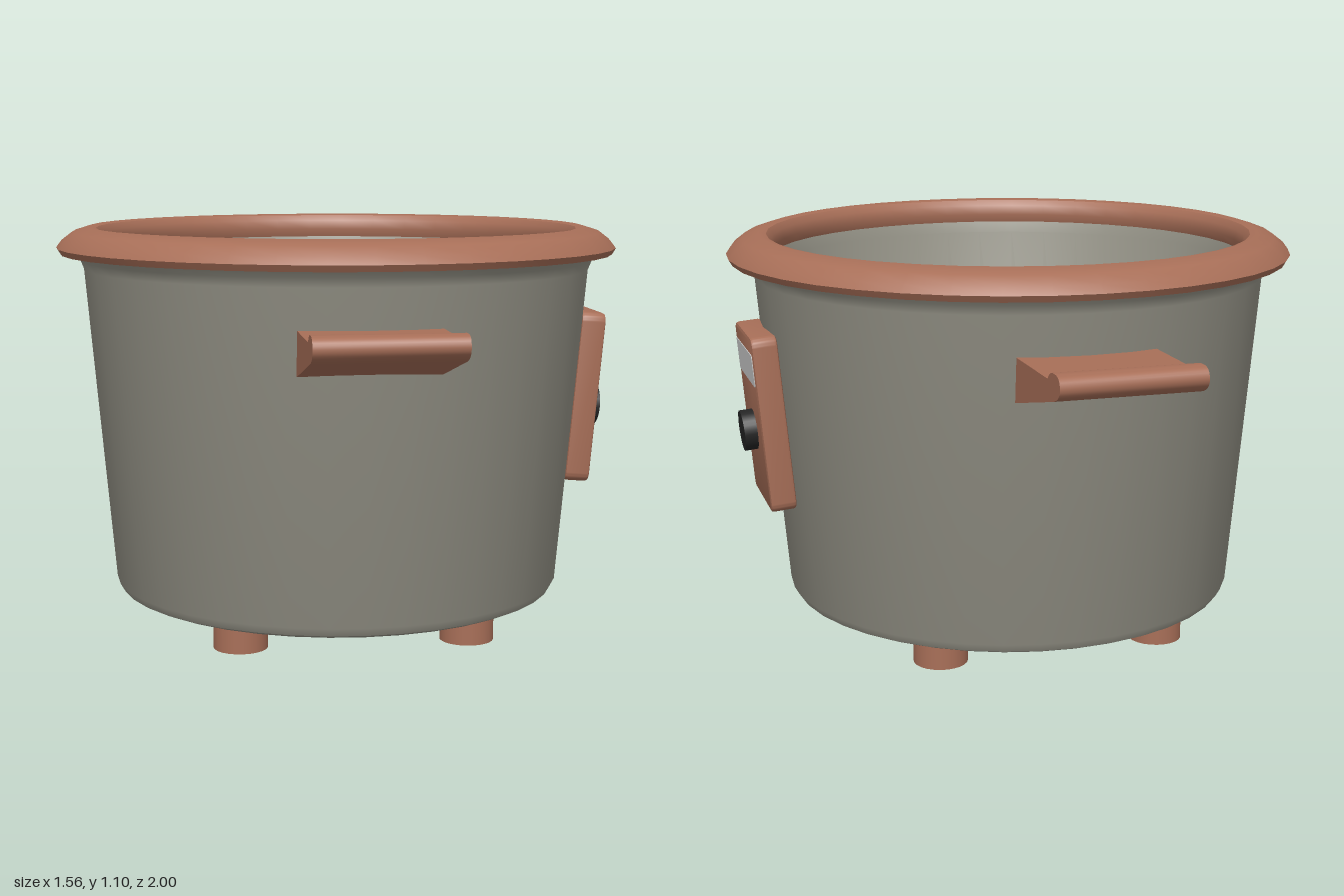
import * as THREE from 'three';
import { toCreasedNormals } from 'three/addons/utils/BufferGeometryUtils.js';

const SEGMENTS = 40;
const material = (color, side = THREE.FrontSide) => new THREE.MeshStandardMaterial({ color, side });

function lathe(profile) {
  const points = profile.map(([r, y]) => new THREE.Vector2(r, y));
  return toCreasedNormals(new THREE.LatheGeometry(points, SEGMENTS), 0.6);
}

// Rounded slab centred on the origin, its broad faces towards +z and -z
function roundedSlab(width, height, depth, radius, bevel) {
  const w = width / 2 - bevel, h = height / 2 - bevel, r = radius;
  const shape = new THREE.Shape();
  shape.absarc(w - r, h - r, r, 0, Math.PI / 2);
  shape.absarc(-w + r, h - r, r, Math.PI / 2, Math.PI);
  shape.absarc(-w + r, -h + r, r, Math.PI, Math.PI * 1.5);
  shape.absarc(w - r, -h + r, r, Math.PI * 1.5, Math.PI * 2);
  const geometry = new THREE.ExtrudeGeometry(shape, {
    depth: depth - 2 * bevel, bevelEnabled: bevel > 0, bevelSize: bevel,
    bevelThickness: bevel, bevelSegments: 2, curveSegments: 4,
  });
  geometry.translate(0, 0, -depth / 2 + bevel);
  return toCreasedNormals(geometry, 0.6);
}

export function createModel() {
  const model = new THREE.Group();
  model.name = 'cookingPot';
  const grey = material(0x98968a, THREE.DoubleSide);
  const brown = material(0xa86f58);
  const black = material(0x242424);
  const light = material(0xcccccc);

  const add = (name, geometry, mat, parent = model) => {
    const mesh = new THREE.Mesh(geometry, mat);
    mesh.name = name;
    parent.add(mesh);
    return mesh;
  };

  // Tapered vessel with a thick wall: outside up, inside down
  add('potBody', lathe([
    [0, 0.075], [0.595, 0.075], [0.617, 0.085], [0.63, 0.108], [0.705, 0.985],
    [0.715, 1.01], [0.74, 1.035], [0.665, 1.05], [0.65, 1.0], [0.58, 0.16],
    [0.565, 0.13], [0.535, 0.12], [0, 0.12],
  ]), grey);

  // Rolled rim
  add('rim', lathe([
    [0.66, 1.03], [0.77, 1.028], [0.78, 1.045], [0.765, 1.065], [0.735, 1.088],
    [0.69, 1.102], [0.67, 1.098], [0.656, 1.082], [0.651, 1.055], [0.66, 1.03],
  ]), brown);

  // Wedge handles with a raised lip, front and back
  const side = new THREE.Shape();
  side.moveTo(0.655, 0.762);
  side.lineTo(0.95, 0.833);
  side.quadraticCurveTo(1.0, 0.845, 1.0, 0.872);
  side.quadraticCurveTo(0.998, 0.898, 0.97, 0.9);
  side.lineTo(0.945, 0.9);
  side.quadraticCurveTo(0.925, 0.898, 0.91, 0.879);
  side.lineTo(0.655, 0.879);
  const handle = new THREE.ExtrudeGeometry(side, { depth: 0.366, bevelEnabled: false, curveSegments: 6 });
  handle.translate(0, 0, -0.183);
  handle.rotateY(-Math.PI / 2);
  const handleGeometry = toCreasedNormals(handle, 0.6);
  add('frontHandle', handleGeometry, brown);
  add('backHandle', handleGeometry, brown).rotation.y = Math.PI;

  // Feet
  const foot = new THREE.CylinderGeometry(0.073, 0.073, 0.085, 24);
  for (const x of [-0.307, 0.307]) {
    for (const z of [-0.387, 0.387]) add('foot', foot, brown).position.set(x, 0.0425, z);
  }

  // Control panel, leaning with the wall on the left side
  const panel = new THREE.Group();
  panel.name = 'controlPanel';
  panel.position.set(0.695, 0.616, 0);
  panel.rotation.set(0, Math.PI / 2, -0.087, 'ZYX');
  model.add(panel);
  add('panelCase', roundedSlab(0.29, 0.484, 0.07, 0.018, 0.008), brown, panel);
  add('displayWindow', roundedSlab(0.262, 0.088, 0.006, 0.006, 0), light, panel).position.set(0, 0.153, 0.034);
  const knob = new THREE.CylinderGeometry(0.056, 0.056, 0.045, 28);
  knob.rotateX(Math.PI / 2);
  add('knob', knob, black, panel).position.set(0, -0.036, 0.0475);

  return model;
}
